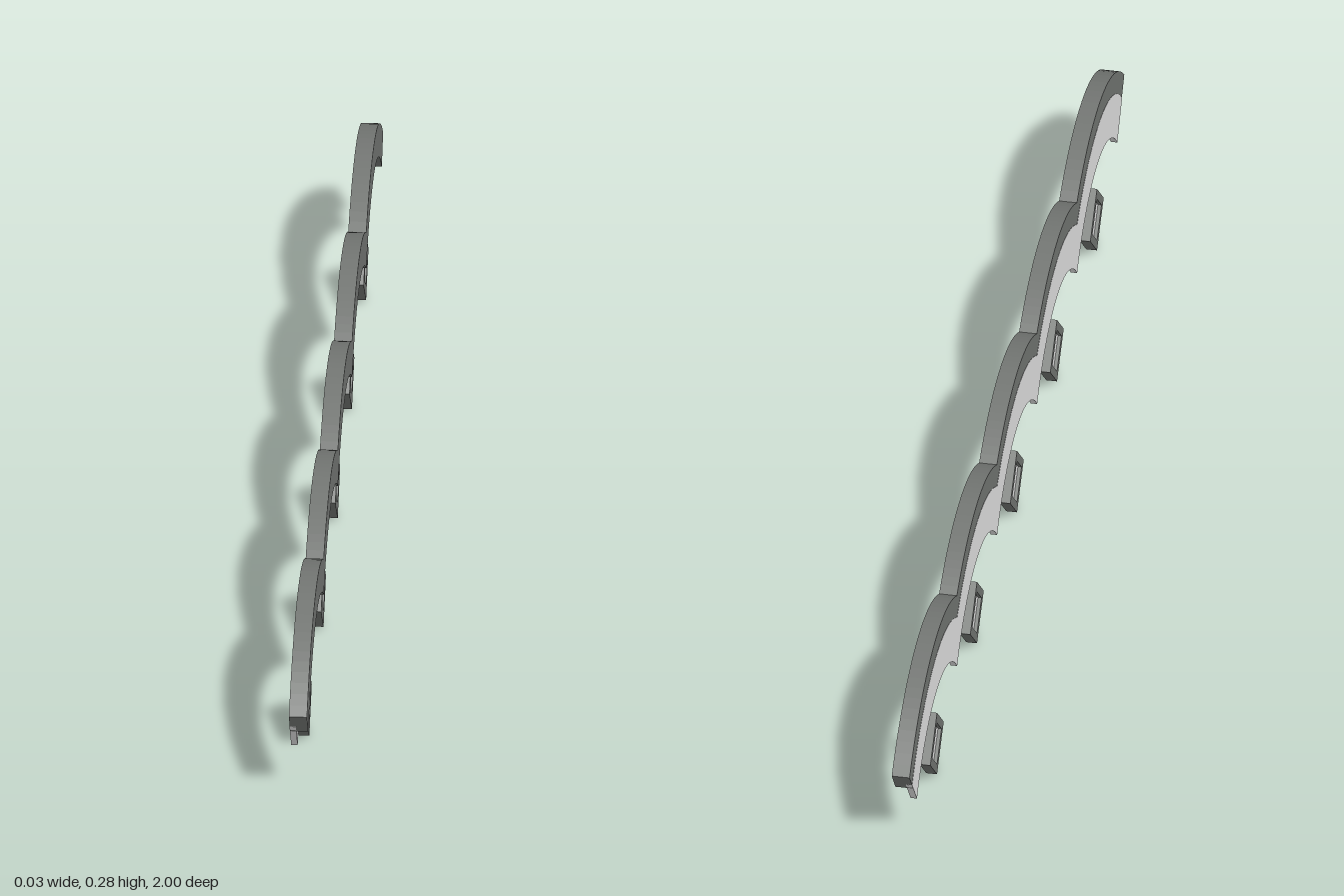
import * as THREE from 'three';

const PITCH = 0.3725, COUNT = 5, CY = -0.072, SEG = 24;

// Scalloped outline: points of one edge at radius r, ends cut at half-width e
function scallop(r, e) {
  const pts = [];
  for (let i = 0; i < COUNT; i++) {
    const c = (i - (COUNT - 1) / 2) * PITCH;
    const a0 = -Math.asin((i === 0 ? e : PITCH / 2) / r);
    const a1 = Math.asin((i === COUNT - 1 ? e : PITCH / 2) / r);
    for (let k = i === 0 ? 0 : 1; k <= SEG; k++) {
      const a = a0 + (a1 - a0) * k / SEG;
      pts.push(new THREE.Vector2(c + r * Math.sin(a), CY + r * Math.cos(a)));
    }
  }
  return pts;
}

// Extrude a side profile across the thickness, from x0 to x1
function slab(shape, x0, x1, material, name) {
  const geo = new THREE.ExtrudeGeometry(shape, { depth: x1 - x0, bevelEnabled: false, curveSegments: 16 });
  geo.rotateY(Math.PI / 2);
  const mesh = new THREE.Mesh(geo, material);
  mesh.position.x = x0;
  mesh.name = name;
  return mesh;
}

function band(rOut, eOut, rIn, eIn) {
  return new THREE.Shape([...scallop(rIn, eIn), ...scallop(rOut, eOut).reverse()]);
}

function diamond(h) {
  return [[h, 0], [0, h], [-h, 0], [0, -h]].map(([a, b]) => new THREE.Vector2(a, b));
}

export function createModel() {
  const dark = new THREE.MeshStandardMaterial({ color: 0x747774 });
  dark.name = 'dark grey';
  const light = new THREE.MeshStandardMaterial({ color: 0xe4e4e4 });
  light.name = 'pale grey';

  const model = new THREE.Group();
  model.name = 'scallopedTrim';

  // Thick upper moulding and the thinner band below, which laps behind it
  model.add(slab(band(0.355, 0.255, 0.3, 0.222), -0.0148, 0.015, dark, 'upperMoulding'));
  model.add(slab(band(0.318, 0.233, 0.245, 0.188), -0.0152, -0.0045, light, 'lowerBand'));

  // Hanging diamonds with a round opening in front and a square recess behind
  for (let i = 0; i < COUNT; i++) {
    const ornament = new THREE.Group();
    ornament.name = 'diamondOrnament';
    const face = new THREE.Shape(diamond(0.0625));
    face.holes.push(new THREE.Path().absarc(0, 0, 0.029, 0, Math.PI * 2, true));
    const frame = new THREE.Shape(diamond(0.0625));
    frame.holes.push(new THREE.Path(diamond(0.042).reverse()));
    ornament.add(slab(face, -0.006, 0.003, dark, 'diamondFace'));
    ornament.add(slab(frame, -0.015, -0.006, dark, 'diamondBackFrame'));
    ornament.add(slab(new THREE.Shape(diamond(0.042)), -0.009, -0.006, light, 'diamondInset'));
    ornament.position.set(0, 0.0625, (i - (COUNT - 1) / 2) * PITCH);
    model.add(ornament);
  }
  return model;
}
